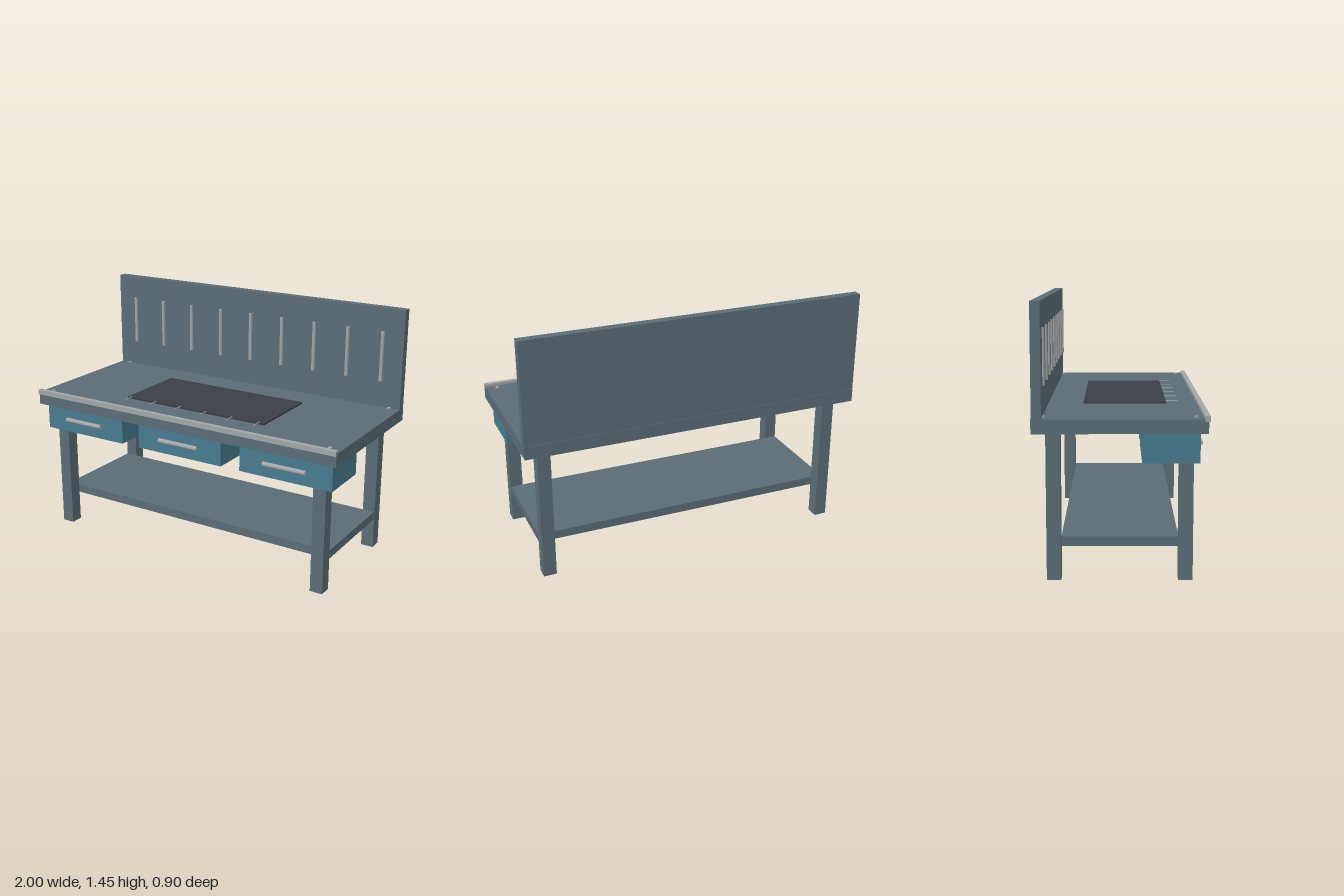
import * as THREE from 'three';

export function createModel() {
  const bench = new THREE.Group();
  bench.name = 'workbench';

  const material = (name, color) => {
    const m = new THREE.MeshStandardMaterial({ color });
    m.name = name;
    return m;
  };
  const steel = material('blue grey steel', 0x5b6c76);
  const teal = material('teal drawer paint', 0x467c90);
  const metal = material('bare metal', 0xa3a6a6);
  const rubber = material('dark rubber', 0x3b3e46);

  const add = (name, geometry, mat, x, y, z) => {
    const mesh = new THREE.Mesh(geometry, mat);
    mesh.name = name;
    mesh.position.set(x, y, z);
    bench.add(mesh);
    return mesh;
  };
  // Box given by its min and max on each axis
  const box = (name, mat, [x0, x1], [y0, y1], [z0, z1]) =>
    add(name, new THREE.BoxGeometry(x1 - x0, y1 - y0, z1 - z0), mat,
      (x0 + x1) / 2, (y0 + y1) / 2, (z0 + z1) / 2);
  const rod = (radius, length, sides = 16) =>
    new THREE.CylinderGeometry(radius, radius, length, sides);

  // Worktop, back panel, lower shelf and front edge rail
  box('worktop', steel, [-1, 1], [0.785, 0.86], [-0.45, 0.443]);
  box('backPanel', steel, [-1, 1], [0.86, 1.447], [-0.447, -0.396]);
  box('shelf', steel, [-0.915, 0.915], [0.182, 0.232], [-0.305, 0.3]);
  box('edgeRail', metal, [-1, 1], [0.848, 0.876], [0.424, 0.451]);

  // Legs and worktop corner bolts
  for (const side of [-1, 1]) {
    for (const [z, boltZ] of [[0.338, 0.386], [-0.345, -0.391]]) {
      add('leg', new THREE.BoxGeometry(0.075, 0.785, 0.075), steel, side * 0.88, 0.3925, z);
      add('cornerBolt', rod(0.011, 0.008, 12), metal, side * 0.935, 0.863, boltZ);
    }
  }

  // Drawers with bar handles
  for (const x of [-0.684, 0, 0.684]) {
    box('drawer', teal, [x - 0.282, x + 0.282], [0.628, 0.785], [0.11, 0.405]);
    const handle = add('drawerHandle', rod(0.0135, 0.26), metal, x, 0.706, 0.416);
    handle.rotation.z = Math.PI / 2;
  }

  // Vertical tool rods on the back panel
  for (let i = -4; i <= 4; i++) {
    add('toolRod', rod(0.011, 0.295), metal, i * 0.218, 1.163, -0.394);
  }

  // Work mat with a row of thin pins along its front edge
  box('workMat', rubber, [-0.468, 0.468], [0.86, 0.87], [-0.203, 0.254]);
  for (let i = 0; i < 6; i++) {
    const pin = add('matPin', rod(0.003, 0.066, 8), metal, -0.4375 + i * 0.175, 0.873, 0.285);
    pin.rotation.x = Math.PI / 2;
  }

  return bench;
}
